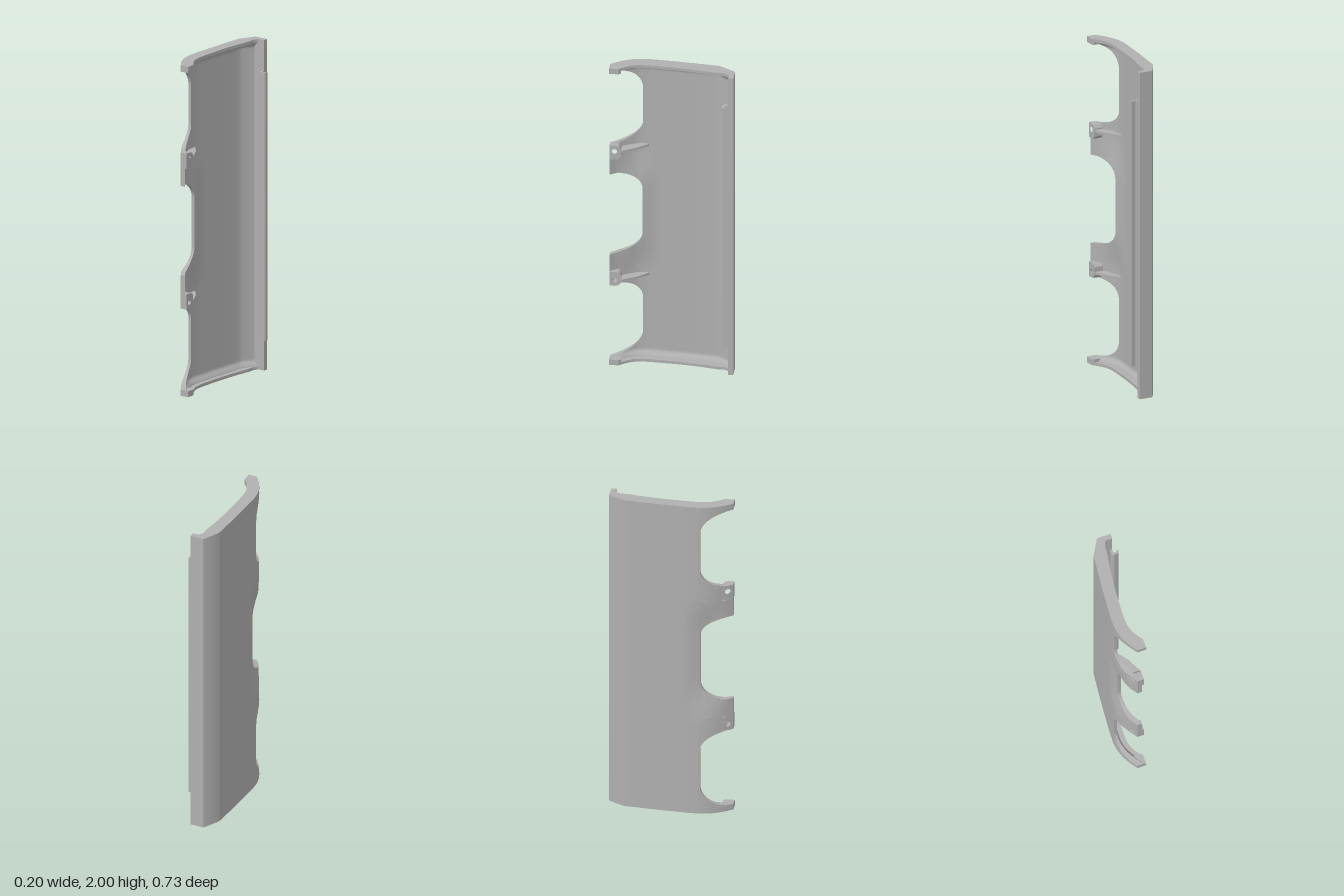
import * as THREE from 'three';
import { toCreasedNormals } from 'three/addons/utils/BufferGeometryUtils.js';

const TAB = 0.365, CUT = 0.18;

// outer skin as [z, x] pairs, back to front
const SKIN = [
  [-0.365, -0.012], [-0.357, -0.02], [-0.27, -0.068], [-0.25, -0.071], [-0.15, -0.08], [-0.05, -0.088],
  [0.05, -0.095], [0.12, -0.099], [0.17, -0.1], [0.21, -0.095], [0.25, -0.084],
  [0.28, -0.072], [0.32, -0.05], [0.365, -0.018],
];
const smooth = THREE.MathUtils.smoothstep;

function skinX(z) {
  let i = 1;
  while (i < SKIN.length - 1 && SKIN[i][0] < z) i++;
  const [z0, x0] = SKIN[i - 1], [z1, x1] = SKIN[i];
  return x0 + (x1 - x0) * (z - z0) / (z1 - z0);
}

// inward roll of the front edge between the two tabs
function outerX(z, h) {
  const w = 1 - smooth(h, 0.15, 0.42);
  return skinX(z) + 0.025 * w * smooth(z, 0.08, 0.2) * (1 - smooth(z, 0.22, 0.34));
}

function innerX(z, h) {
  const bend = 0.01 * smooth(z, 0.2, 0.3) + 0.01 * (1 - smooth(z, -0.32, -0.25));
  const fillet = 0.025 * smooth(h, 0.945, 0.985);
  return outerX(z, h) + 0.02 + bend + fillet;
}

// rows of the upper half: height above the middle, and front edge z
function halfRows() {
  const rows = [];
  const arc = (from, to, rising) => {
    const n = 12;
    for (let i = 0; i <= n; i++) {
      const a = (rising ? i : n - i) / n * Math.PI / 2;
      const h0 = rising ? from : to, span = rising ? to - from : from - to;
      rows.push([h0 + span * Math.sin(a), CUT + (TAB - CUT) * (1 - Math.cos(a))]);
    }
  };
  rows.push([0, CUT], [0.07, CUT]);
  arc(0.15, 0.27, true);
  for (const h of [0.3, 0.33, 0.36, 0.38]) rows.push([h, TAB]);
  for (const h of [0.3802, 0.41, 0.44, 0.4698]) rows.push([h, 0.302]); // seat of the boss
  arc(0.47, 0.59, false);
  rows.push([0.65, CUT], [0.74, CUT]);
  arc(0.82, 0.962, true);
  rows.push([0.975, TAB], [0.985, TAB], [0.998, TAB]);
  return rows;
}

function panelGeometry() {
  const half = halfRows();
  const rows = [...half.slice(1).reverse().map(([h, e]) => [-h, e]), ...half];
  const backZ = [-0.365, -0.357, -0.31, -0.27, -0.25, -0.2, -0.15, -0.1, -0.05, 0, 0.05, 0.08, 0.1, 0.12, 0.14, 0.16];
  const pos = [], idx = [];
  let n = 0;
  for (const [s, e] of rows) {
    const h = Math.abs(s), zs = [...backZ];
    for (let k = 0; k <= 10; k++) zs.push(0.17 + (e - 0.17) * k / 10);
    for (const z of zs) pos.push(innerX(z, h), 1 + s, z);
    for (const z of zs.slice().reverse()) pos.push(outerX(z, h), 1 + s, z);
    n = zs.length * 2;
  }
  for (let i = 0; i < rows.length - 1; i++) {
    for (let j = 0; j < n; j++) {
      const k = (j + 1) % n;
      const a = i * n + j, b = i * n + k, c = a + n, d = b + n;
      idx.push(a, c, d, a, d, b);
    }
  }
  const g = new THREE.BufferGeometry();
  g.setAttribute('position', new THREE.Float32BufferAttribute(pos, 3));
  g.setIndex(idx);
  return toCreasedNormals(g, 0.4);
}

// extrude an [x, z] outline upwards from y0 to y1
function prism(points, y0, y1) {
  const shape = new THREE.Shape(points.map(([x, z]) => new THREE.Vector2(x, -z)));
  const g = new THREE.ExtrudeGeometry(shape, { depth: y1 - y0, bevelEnabled: false });
  g.rotateX(-Math.PI / 2).translate(0, y0, 0);
  return toCreasedNormals(g, 0.4);
}

// screw boss along x, its outer end trimmed to the skin
function bossGeometry(side) {
  const Y = (h) => 1 + side * h;
  const shape = new THREE.Shape([
    [-0.365, 0.38], [-0.365, 0.472], [-0.335, 0.472], [-0.312, 0.468], [-0.298, 0.45],
    [-0.298, 0.4], [-0.312, 0.384], [-0.335, 0.38],
  ].map(([a, h]) => new THREE.Vector2(a, Y(h))));
  const hole = new THREE.Path();
  hole.absarc(-0.335, Y(0.435), 0.015, 0, Math.PI * 2, true);
  shape.holes.push(hole);
  const g = new THREE.ExtrudeGeometry(shape, { depth: 1, bevelEnabled: false, curveSegments: 20 });
  g.rotateY(Math.PI / 2);
  const p = g.attributes.position;
  for (let i = 0; i < p.count; i++) p.setX(i, p.getX(i) > 0.5 ? 0.022 : skinX(p.getZ(i)));
  g.computeVertexNormals();
  return toCreasedNormals(g, 0.5);
}

export function createModel() {
  const group = new THREE.Group();
  const grey = new THREE.MeshStandardMaterial({ color: 0xb0b0b0 });
  grey.name = 'plain grey';
  const add = (name, geometry) => {
    const mesh = new THREE.Mesh(geometry, grey);
    mesh.name = name;
    group.add(mesh);
  };

  add('panel', panelGeometry());

  // back flange and the hooked strip along it
  add('backFlange', prism([[-0.012, -0.365], [0.068, -0.365], [0.068, -0.335], [-0.02, -0.335]], 0, 2));
  add('hookStrip', prism([
    [0.054, -0.337], [0.054, -0.312], [0.058, -0.304], [0.066, -0.3], [0.085, -0.3], [0.095, -0.304],
    [0.1, -0.312], [0.1, -0.322], [0.09, -0.322], [0.088, -0.316], [0.084, -0.314], [0.068, -0.314], [0.068, -0.337],
  ], 0.19, 1.815));

  // end walls
  const wall = [
    ...SKIN.map(([z, x]) => [x, z]),
    [0.035, 0.365], [0.035, 0.31], [0.024, 0.298], [0.002, 0.265], [-0.014, 0.235], [-0.022, 0.205],
    [-0.026, 0.17], [-0.026, 0.12], [-0.02, 0], [-0.012, -0.1], [-0.002, -0.18], [0.009, -0.245],
    [0.012, -0.27], [0.011, -0.295], [0.016, -0.314], [0.025, -0.328], [0.036, -0.335], [0.068, -0.335], [0.068, -0.365],
  ];
  const foot = [[-0.018, 0.365], [0.035, 0.365], [0.035, 0.31], [0.024, 0.298], [-0.06, 0.302], [-0.05, 0.32]];
  for (const [label, top] of [['bottom', false], ['top', true]]) {
    const span = (t) => (top ? [2 - t, 2] : [0, t]);
    add(label + 'Wall', prism(wall, ...span(0.018)));
    add(label + 'Foot', prism(foot, ...span(0.036)));
  }

  // screw bosses with their ribs
  for (const [label, side] of [['lower', -1], ['upper', 1]]) {
    add(label + 'Boss', bossGeometry(side));
    const y = 1 + side * 0.435;
    add(label + 'Rib', prism(
      [[-0.085, 0.14], [-0.085, 0.22], [-0.05, 0.3], [0.02, 0.3], [0.02, 0.29], [-0.022, 0.21], [-0.07, 0.15]],
      y - 0.007, y + 0.007));
  }
  return group;
}
